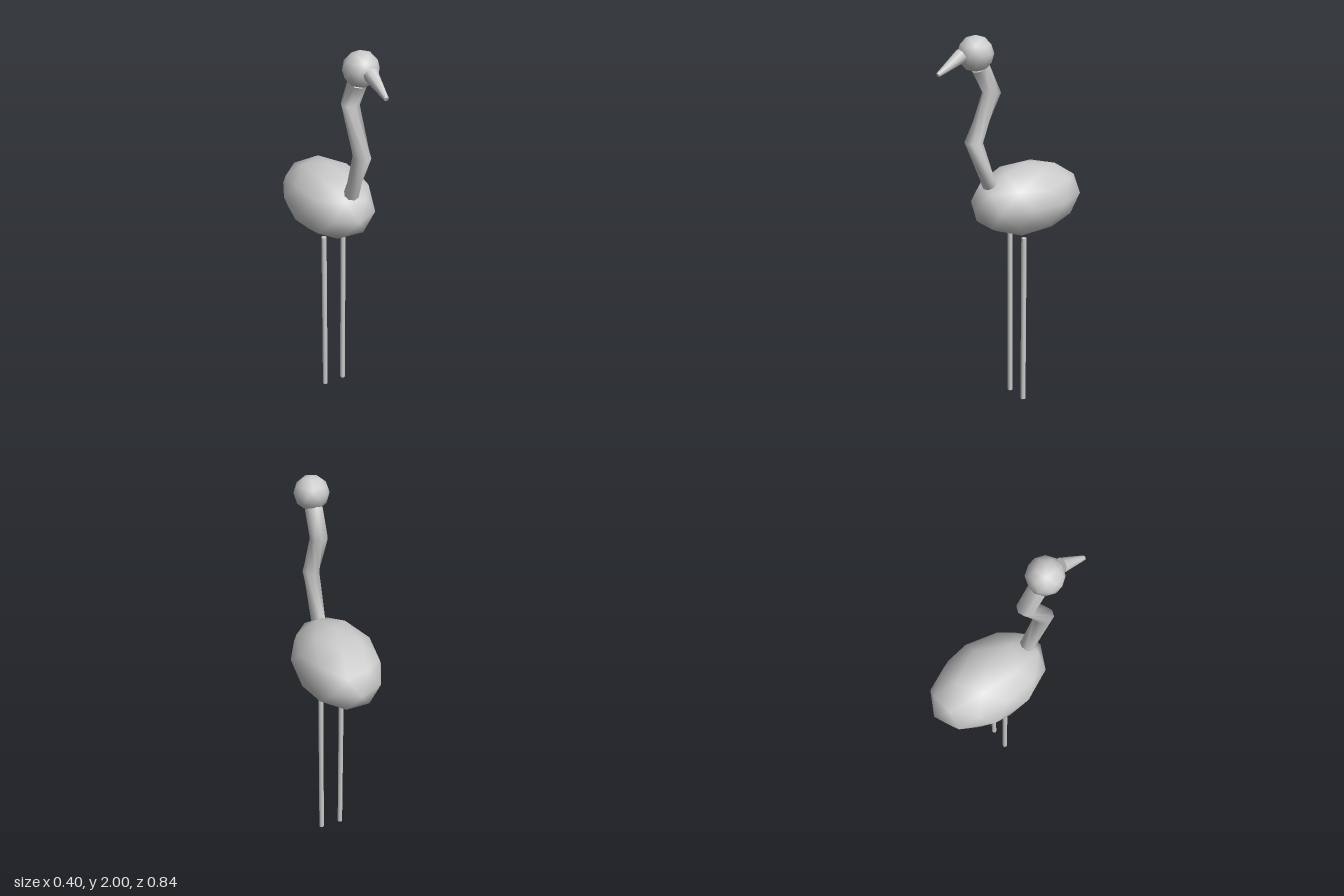
import * as THREE from 'three';

const material = new THREE.MeshStandardMaterial({ color: 0xcccccc });

function part(name, geometry, x = 0, y = 0, z = 0) {
  const mesh = new THREE.Mesh(geometry, material);
  mesh.name = name;
  mesh.position.set(x, y, z);
  return mesh;
}

// Low-poly icosphere with a vertex at the top, smooth normals, stretched to an ellipsoid
function icosphere(rx, ry, rz) {
  return new THREE.IcosahedronGeometry(1, 1)
    .rotateX(-Math.atan((1 + Math.sqrt(5)) / 2))
    .rotateY(Math.PI / 2)
    .scale(rx, ry, rz);
}

// Skin through rings lying in the x = 0 plane: [z, y, radius, tilt, twist]
function ringTube(rings, sides) {
  const positions = [];
  const index = [];
  for (const [z, y, r, tilt, twist] of rings) {
    for (let j = 0; j < sides; j++) {
      const a = twist + (j / sides) * Math.PI * 2;
      const s = r * Math.sin(a);
      positions.push(r * Math.cos(a), y + s * Math.sin(tilt), z + s * Math.cos(tilt));
    }
  }
  for (let i = 0; i < rings.length - 1; i++) {
    for (let j = 0; j < sides; j++) {
      const k = (j + 1) % sides;
      const a = i * sides + j, b = i * sides + k;
      const c = a + sides, d = b + sides;
      index.push(a, c, b, b, c, d);
    }
  }
  const geometry = new THREE.BufferGeometry();
  geometry.setAttribute('position', new THREE.Float32BufferAttribute(positions, 3));
  geometry.setIndex(index);
  geometry.computeVertexNormals();
  return geometry;
}

export function createModel() {
  const model = new THREE.Group();
  model.name = 'wadingBird';

  // Egg-shaped body and round head
  model.add(part('body', icosphere(0.21, 0.188, 0.322), 0, 1.155, -0.1));
  model.add(part('head', icosphere(0.085, 0.084, 0.085), 0, 1.916, 0.206));

  // Crooked neck: the two lower sections twist a quarter turn, both ends are capped
  const q = Math.PI / 2;
  const base = [0.133, 1.265, 0.038, -0.35, 0];
  const top = [0.18, 1.85, 0.045, -0.46, 2 * q];
  const cap = ([z, y, , tilt, twist]) => [z, y, 0, tilt, twist];
  model.add(part('neck', ringTube([
    cap(base), base, base,
    [0.226, 1.5, 0.045, 0, q],
    [0.117, 1.725, 0.045, 0, 2 * q],
    top, top, cap(top),
  ], 8)));

  // Tapered beak pointing forward and down
  const from = new THREE.Vector3(0, 1.915, 0.285);
  const to = new THREE.Vector3(0, 1.842, 0.416);
  const along = to.clone().sub(from);
  const beak = part('beak', new THREE.CylinderGeometry(0.011, 0.035, along.length(), 8));
  beak.position.copy(from).lerp(to, 0.5);
  beak.quaternion.setFromUnitVectors(new THREE.Vector3(0, 1, 0), along.normalize());
  model.add(beak);

  // Thin straight legs
  for (const side of [1, -1]) {
    const name = side > 0 ? 'leftLeg' : 'rightLeg';
    model.add(part(name, new THREE.CylinderGeometry(0.014, 0.014, 0.96, 8), side * 0.057, 0.48, -0.04));
  }

  return model;
}
